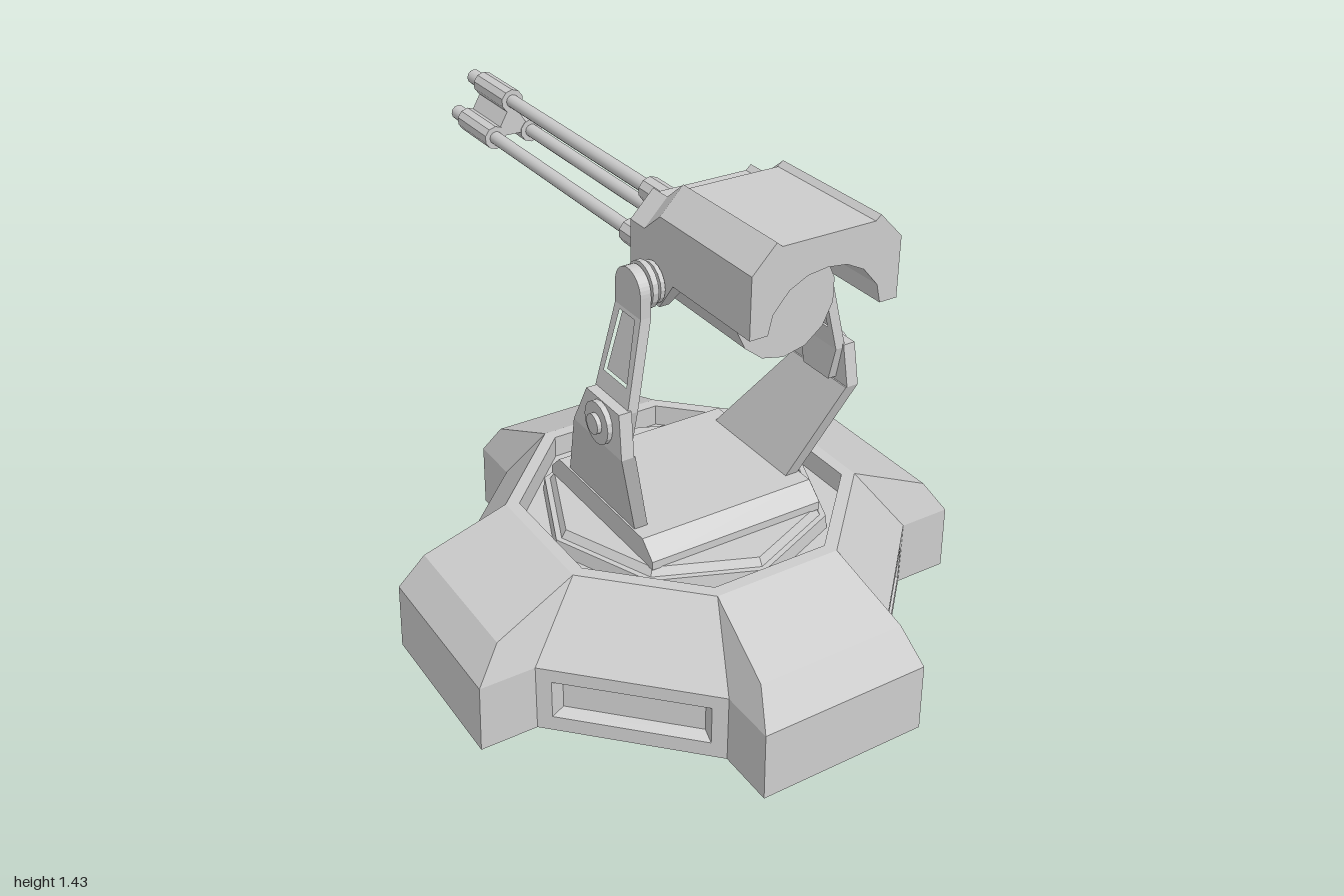
import * as THREE from 'three';

const flat = new THREE.MeshStandardMaterial({ color: 0xcccccc, flatShading: true });
const smooth = new THREE.MeshStandardMaterial({ color: 0xcccccc });

function add(parent, name, geometry, material = flat) {
  const mesh = new THREE.Mesh(geometry, material);
  mesh.name = name;
  parent.add(mesh);
  return mesh;
}

// Joins rings of [x, y, z] points into a faceted skin; skip(level, i) leaves gaps.
function loft(rings, skip = () => false) {
  const pos = [];
  for (let l = 0; l < rings.length - 1; l++) {
    const p = rings[l], q = rings[l + 1], n = p.length;
    for (let i = 0; i < n; i++) {
      if (skip(l, i)) continue;
      const j = (i + 1) % n;
      for (const tri of [[p[i], p[j], q[j]], [p[i], q[j], q[i]]]) {
        const [a, b, c] = tri.map((v) => new THREE.Vector3(...v));
        if (b.sub(a).cross(c.sub(a)).length() > 1e-9) pos.push(...tri.flat());
      }
    }
  }
  const g = new THREE.BufferGeometry();
  g.setAttribute('position', new THREE.Float32BufferAttribute(pos, 3));
  g.computeVertexNormals();
  return g;
}

// Moves every vertex by a rule.
function bend(g, rule) {
  const p = g.attributes.position;
  for (let i = 0; i < p.count; i++) p.setXYZ(i, ...rule(p.getX(i), p.getY(i), p.getZ(i)));
  g.computeVertexNormals();
  return g;
}

function mirrorX(g) {
  const m = g.clone(), p = m.attributes.position, src = g.attributes.position;
  for (let i = 0; i < p.count; i++) {
    const k = i % 3 === 0 ? i : i % 3 === 1 ? i + 1 : i - 1;
    p.setXYZ(i, -src.getX(k), src.getY(k), src.getZ(k));
  }
  m.computeVertexNormals();
  return m;
}

const outline = (pts) => new THREE.Shape(pts.map((p) => new THREE.Vector2(...p)));

// Side profile in (z, y), given a thickness across x; the outer face follows outerX(y).
function sideplate(shape, thickness, outerX) {
  const g = new THREE.ExtrudeGeometry(shape, { depth: thickness, bevelEnabled: false, curveSegments: 10 });
  g.rotateY(-Math.PI / 2);
  return bend(g, (x, y, z) => [x + outerX(y), y, z]);
}

const ramp = (y0, x0, y1, x1) => (y) => x0 + ((x1 - x0) * (y - y0)) / (y1 - y0);

function disc(parent, name, radius, width, x, y, z, sides = 16) {
  const g = new THREE.CylinderGeometry(radius, radius, width, sides).rotateZ(Math.PI / 2);
  add(parent, name, g).position.set(x, y, z);
}

// Cross-shaped level of the base: four feet joined by diagonal sides.
function baseRing(y, hw, inner, outer) {
  const ring = [];
  for (let k = 0; k < 4; k++) {
    const c = Math.round(Math.cos((k * Math.PI) / 2)), s = Math.round(Math.sin((k * Math.PI) / 2));
    for (const [x, z] of [[-hw, inner], [-hw, outer], [hw, outer], [hw, inner]])
      ring.push([x * c + z * s, y, z * c - x * s]);
  }
  return ring;
}

function buildBase() {
  const base = new THREE.Group();
  base.name = 'base';
  base.position.z = 0.225;
  add(base, 'baseBody', loft([
    baseRing(0, 0, 0, 0),
    baseRing(0, 0.25, 0.61, 0.775),
    baseRing(0.2, 0.25, 0.61, 0.77),
    baseRing(0.3, 0.22, 0.535, 0.7),
    baseRing(0.4, 0.19, 0.46, 0.46),
    baseRing(0.4, 0.175, 0.425, 0.425),
    baseRing(0.335, 0.175, 0.425, 0.425),
    baseRing(0.335, 0, 0, 0),
  ], (l, i) => l === 1 && i % 4 === 3));

  // Recessed panels on the diagonals
  const rect = (w, y0, y1, z) => [[-w, y0, z], [w, y0, z], [w, y1, z], [-w, y1, z]];
  const panel = loft([
    rect(0.2546, 0, 0.2, 0), rect(0.212, 0.045, 0.16, 0),
    rect(0.19, 0.06, 0.14, -0.03), rect(0, 0.1, 0.1, -0.03),
  ]);
  for (let k = 0; k < 4; k++) {
    const a = Math.PI / 4 + (k * Math.PI) / 2;
    const m = add(base, 'sidePanel', panel);
    m.rotation.y = a;
    m.position.set(Math.sin(a) * 0.608, 0, Math.cos(a) * 0.608);
  }
  // Octagonal turntable
  add(base, 'turntableRing', new THREE.CylinderGeometry(0.405, 0.41, 0.04, 8)).position.y = 0.355;
  add(base, 'turntableDisc', new THREE.CylinderGeometry(0.375, 0.39, 0.025, 8)).position.y = 0.385;
  return base;
}

function buildArms() {
  const arms = new THREE.Group();
  arms.name = 'arms';
  const lower = sideplate(outline([[0.4, 0.46], [0.05, 0.46], [0.27, 0.77], [0.51, 0.77]]),
    0.04, ramp(0.46, 0.263, 0.77, 0.367));
  const knee = sideplate(outline([[0.51, 0.77], [0.27, 0.77], [0.33, 0.89], [0.49, 0.89]]),
    0.036, ramp(0.77, 0.367, 0.89, 0.362));
  const kneeTab = sideplate(outline([[0.46, 0.78], [0.35, 0.78], [0.325, 0.88], [0.485, 0.88]]),
    0.03, () => 0.335);

  // Upper arm with a sunken trapezoid panel
  const window = [[0.46, 0.94], [0.35, 0.94], [0.37, 1.11], [0.44, 1.11]];
  const bar = outline([[0.485, 0.88], [0.325, 0.88], [0.345, 1.12], [0.465, 1.12]]);
  bar.holes.push(new THREE.Path(window.map((p) => new THREE.Vector2(...p))));
  const lean = ramp(0.88, 0.335, 1.12, 0.285);
  const upper = sideplate(bar, 0.03, lean);
  const inset = sideplate(outline(window), 0.015, (y) => lean(y) - 0.01);
  const tip = outline([[0.465, 1.12], [0.345, 1.12], [0.345, 1.175]]);
  tip.absarc(0.405, 1.175, 0.06, Math.PI, 0, true);
  const shoulder = sideplate(tip, 0.03, () => 0.285);

  const parts = { lowerArm: lower, knee, kneeTab, upperArm: upper, upperArmInset: inset, shoulder };
  for (const [name, g] of Object.entries(parts)) {
    add(arms, name, g);
    add(arms, name, mirrorX(g));
  }
  for (const s of [1, -1]) {
    disc(arms, 'kneeWasher', 0.058, 0.016, s * 0.37, 0.83, 0.405);
    disc(arms, 'kneeBolt', 0.028, 0.02, s * 0.38, 0.83, 0.405);
    disc(arms, 'shoulderPin', 0.042, 0.09, s * 0.235, 1.18, 0.405);
    disc(arms, 'shoulderWasher', 0.062, 0.016, s * 0.242, 1.18, 0.405);
    disc(arms, 'shoulderFlange', 0.055, 0.012, s * 0.218, 1.18, 0.405);
  }
  return arms;
}

function buildHead() {
  const head = new THREE.Group();
  head.name = 'head';
  // Arched housing, lowered at the back
  const half = [[0.13, 1.415], [0.145, 1.428], [0.21, 1.36], [0.21, 1.2], [0.16, 1.2],
    [0.148, 1.25], [0.105, 1.3], [0.055, 1.325]];
  const arch = outline([...half, [0, 1.332], ...half.map(([x, y]) => [-x, y]).reverse()]);
  const zs = [0.295, 0.36, 0.43, 0.49, 0.81];
  const g = new THREE.ExtrudeGeometry(arch, { depth: 4, steps: 4, bevelEnabled: false });
  add(head, 'housing', bend(g, (x, y, z) => {
    const k = Math.round(z);
    if (y > 1.35 && k <= 1) y -= 0.057;
    if (y < 1.21 && k <= 2) {
      y = 1.12;
      if (Math.abs(x) < 0.2) x = Math.sign(x) * 0.183;
    }
    return [x, y, zs[k]];
  }));

  // Drum with a stepped rear ring
  const profile = [[0, 0.66], [0.146, 0.66], [0.146, 0.325], [0.132, 0.305], [0.108, 0.305], [0.1, 0.33], [0, 0.33]];
  const drum = new THREE.LatheGeometry(profile.map(([r, z]) => new THREE.Vector2(r, -z)), 14);
  drum.rotateX(-Math.PI / 2);
  const body = add(head, 'drum', drum, new THREE.MeshStandardMaterial(
    { color: 0xcccccc, flatShading: true, side: THREE.DoubleSide }));
  body.position.y = 1.175;
  return head;
}

function buildBarrels() {
  const barrels = new THREE.Group();
  barrels.name = 'barrels';
  barrels.position.y = 1.175;
  const tube = (name, r, z0, z1, x, y, sides, mat) => {
    const c = new THREE.CylinderGeometry(r, r, z1 - z0, sides).rotateX(-Math.PI / 2);
    add(barrels, name, c, mat).position.set(x, y, (z0 + z1) / 2);
  };
  const clamps = [[-0.93, -0.74], [0.045, 0.235]];
  for (let k = 0; k < 3; k++) {
    const a = (k * Math.PI * 2) / 3, x = Math.sin(a) * 0.07, y = Math.cos(a) * 0.07;
    tube('barrel', 0.02, -0.99, 0.34, x, y, 12, smooth);
    tube('muzzle', 0.023, -1, -0.93, x, y, 12, smooth);
    for (const [z0, z1] of clamps) tube('collar', 0.036, z0, z1, x, y, 10);
  }
  // Webs tying the three collars together
  for (const [z0, z1] of clamps) tube('collarWeb', 0.07, z0 + 0.002, z1 - 0.002, 0, 0, 3);
  return barrels;
}

export function createModel() {
  const model = new THREE.Group();
  model.name = 'turret';
  model.add(buildBase());
  // Bevelled mounting plate
  add(model, 'mountPlate', sideplate(outline([[0.5, 0.395], [-0.045, 0.395], [-0.045, 0.42],
    [0, 0.465], [0.45, 0.465], [0.5, 0.42]].reverse()), 0.54, () => 0.27));
  model.add(buildArms(), buildHead(), buildBarrels());
  return model;
}
